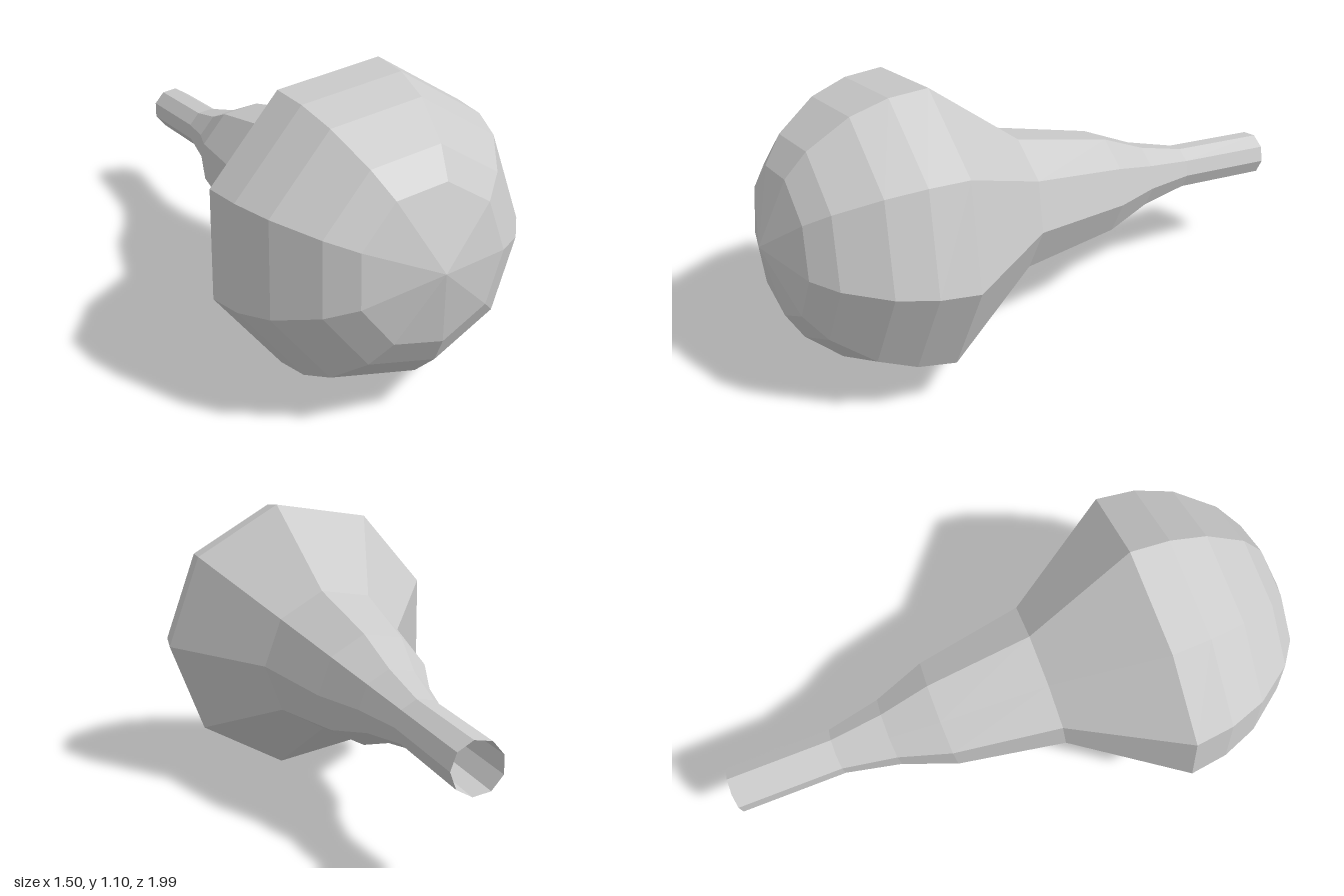
import * as THREE from 'three';

export function createModel() {
  const model = new THREE.Group();
  model.name = 'bulb';
  const material = new THREE.MeshStandardMaterial({
    color: 0xcccccc, flatShading: true, side: THREE.DoubleSide,
  });

  // Leaning axis: from the open neck end to the pole of the dome
  const neckEnd = new THREE.Vector3(-0.68, 0.42, -0.955);
  const pole = new THREE.Vector3(0.49, 0.61, 0.915);
  const axis = pole.clone().sub(neckEnd).normalize();
  const side = new THREE.Vector3(axis.z, 0, -axis.x).normalize();
  side.applyAxisAngle(axis, THREE.MathUtils.degToRad(2.2));
  const up = axis.clone().cross(side);
  if (side.y > 0) { // the first corner sits slightly below the axis
    side.applyAxisAngle(axis, THREE.MathUtils.degToRad(-4.4));
    up.copy(axis).cross(side);
  }
  const frame = new THREE.Matrix4().makeBasis(up, axis, side).setPosition(neckEnd);

  // Nine-sided turned part from [radius, distance along the axis] pairs
  function turned(name, profile) {
    const points = profile.map(([r, t]) => new THREE.Vector2(r, t));
    const geometry = new THREE.LatheGeometry(points, 9).toNonIndexed();
    geometry.applyMatrix4(frame);
    geometry.computeVertexNormals();
    const mesh = new THREE.Mesh(geometry, material);
    mesh.name = name;
    model.add(mesh);
  }

  // Open hollow neck flaring towards the bulb
  turned('neck', [[0.09, 0], [0.09, 0.41], [0.134, 0.62], [0.209, 0.82], [0.28, 1.23]]);
  // Cone widening to the rim
  turned('shoulder', [[0.28, 1.23], [0.561, 1.64]]);
  // Rounded dome closing the front
  turned('dome', [[0.561, 1.64], [0.541, 1.785], [0.487, 1.92], [0.373, 2.062], [0.272, 2.13], [0, 2.205]]);

  return model;
}
